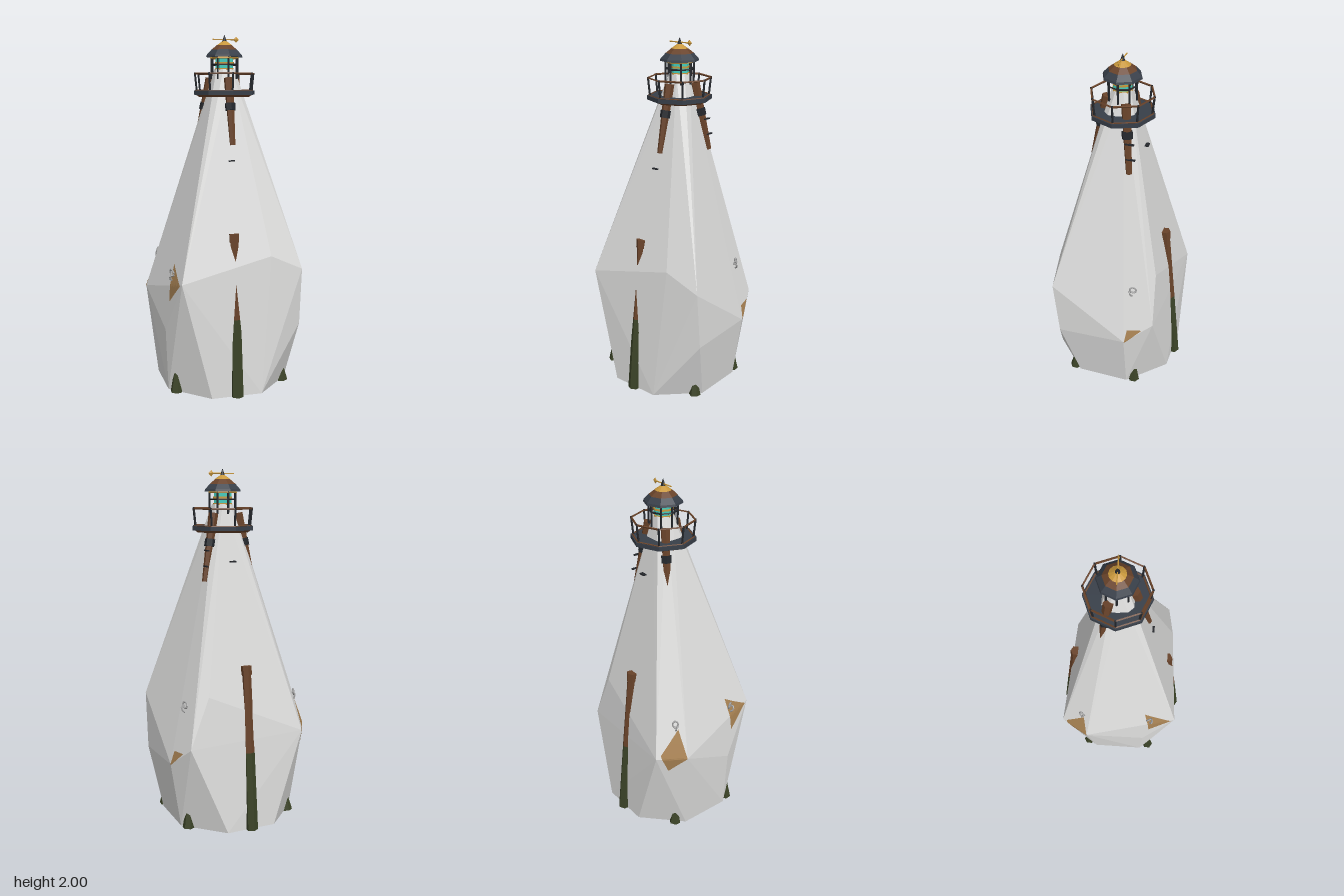
import * as THREE from 'three';
import { ConvexGeometry } from 'three/addons/geometries/ConvexGeometry.js';

const paint = (name, color, side) => {
  const m = new THREE.MeshStandardMaterial({ color });
  m.name = name;
  if (side) m.side = side;
  return m;
};
const V = (x, y, z) => new THREE.Vector3(x, y, z);

export function createModel() {
  const white = paint('white plaster', 0xdcdcdb);
  const tan = paint('bare patch', 0xa88253, THREE.DoubleSide);
  const green = paint('algae green', 0x3b4327);
  const brown = paint('rust brown', 0x69432a);
  const black = paint('dark iron', 0x24272c);
  const slate = paint('slate', 0x383f49);
  const gold = paint('gold', 0xc9983c);
  const teal = paint('lamp teal', 0x42cdbd);
  const grey = paint('chain grey', 0xa2a2a2);

  const root = new THREE.Group();
  root.name = 'lighthouse';
  const add = (geo, mat, name, parent = root) => {
    const g = geo.index ? geo.toNonIndexed() : geo;
    g.computeVertexNormals(); // faceted look
    const mesh = new THREE.Mesh(g, mat);
    mesh.name = name;
    parent.add(mesh);
    return mesh;
  };
  // tapered bar between two points
  const beam = (a, b, ra, rb, mat, name, sides = 6, parent = root) => {
    const d = b.clone().sub(a);
    const mesh = add(new THREE.CylinderGeometry(rb, ra, d.length(), sides), mat, name, parent);
    mesh.position.copy(a).add(b).multiplyScalar(0.5);
    mesh.quaternion.setFromUnitVectors(V(0, 1, 0), d.normalize());
    return mesh;
  };

  // faceted tower: base octagon, irregular belly, narrow top
  const pts = [
    V(-0.31, 0.66, 0.345), V(0.21, 0.78, 0.305), V(0.405, 0.69, 0.28), V(0.405, 0.36, 0.25),
    V(0.408, 0.38, -0.15), V(0.345, 0.5, -0.305), V(0.23, 0.78, -0.285),
    V(-0.32, 0.54, -0.345), V(-0.41, 0.53, -0.19), V(-0.365, 0.36, 0.16),
  ];
  for (const s of [-1, 1]) for (const t of [-1, 1]) {
    pts.push(V(s * 0.145, 0, t * 0.352), V(s * 0.35, 0, t * 0.15));
  }
  const CX = 0.03, CZ = -0.02;
  for (let i = 0; i < 8; i++) {
    const a = (i + 0.5) * Math.PI / 4;
    pts.push(V(CX + 0.058 * Math.sin(a), 1.81, CZ + 0.058 * Math.cos(a)));
  }
  const body = add(new ConvexGeometry(pts), white, 'tower');
  body.updateMatrixWorld();

  // drop a point onto the tower wall, lifted slightly
  const ray = new THREE.Raycaster();
  const onWall = (p, lift) => {
    ray.set(V(p.x * 4, p.y, p.z * 4), V(-p.x, 0, -p.z).normalize());
    const hit = ray.intersectObject(body)[0];
    return hit ? hit.point.addScaledVector(hit.face.normal, lift) : p.clone();
  };

  // bare patches that follow the wall
  const patch = (a, b, c) => {
    const n = 10, out = [];
    const at = (i, j) => onWall(a.clone().addScaledVector(b.clone().sub(a), i / n)
      .addScaledVector(c.clone().sub(a), j / n), 0.003);
    for (let i = 0; i < n; i++) for (let j = 0; j < n - i; j++) {
      out.push(at(i, j), at(i + 1, j), at(i, j + 1));
      if (i + j < n - 1) out.push(at(i + 1, j), at(i + 1, j + 1), at(i, j + 1));
    }
    add(new THREE.BufferGeometry().setFromPoints(out), tan, 'barePatch');
  };
  patch(V(-0.41, 0.53, -0.19), V(-0.35, 0.7, -0.21), V(-0.33, 0.56, -0.32));
  patch(V(-0.41, 0.53, -0.19), V(-0.33, 0.56, -0.32), V(-0.36, 0.45, -0.29));
  patch(V(0.39, 0.46, -0.165), V(0.37, 0.465, -0.25), V(0.405, 0.375, -0.15));
  patch(V(-0.36, 0.74, 0.19), V(-0.36, 0.53, 0.2), V(-0.315, 0.65, 0.325));

  // leaning pipes front and back: algae below, rust above, collar on top
  for (const [s, top] of [[1, 0.91], [-1, 0.93]]) {
    const a = V(0, 0, s * 0.358), b = V(0, top, s * 0.272);
    const at = (t) => a.clone().lerp(b, t);
    beam(a, at(0.48), 0.035, 0.031, green, 'pipeLower');
    beam(at(0.48), b, 0.031, 0.025, brown, 'pipeUpper');
    beam(at(0.95), at(1.003), 0.03, 0.03, brown, 'pipeCollar');
  }

  // algae covered stubs around the foot
  for (const [x, z, h] of [[-0.315, 0.2, 0.12], [0.325, 0.19, 0.08], [0.32, -0.19, 0.11], [-0.31, -0.2, 0.08]]) {
    beam(V(x, 0, z), V(x * 0.98, h, z * 0.96), 0.034, 0.018, green, 'footStub');
  }

  // struts below the gallery with iron collars
  for (let i = 0; i < 3; i++) {
    const a = i * Math.PI * 2 / 3;
    const at = (r, y) => V(CX + r * Math.sin(a), y, CZ + r * Math.cos(a));
    beam(at(0.165, 1.39), at(0.085, 1.76), 0.017, 0.027, brown, 'strut');
    beam(at(0.121, 1.58), at(0.112, 1.62), 0.031, 0.031, black, 'strutCollar');
  }

  // small iron rungs
  for (const [x, y, z] of [[0.018, 1.305, 0.17], [0.16, 1.56, -0.1], [0.17, 1.475, -0.11], [0.03, 1.5, -0.16]]) {
    const side = x > 0.1;
    const rung = add(new THREE.BoxGeometry(side ? 0.012 : 0.035, 0.007, side ? 0.05 : 0.02), black, 'rung');
    rung.position.set(x, y, z);
  }

  // chain links hanging on the wall
  for (const [x, y, z] of [[-0.35, 0.72, -0.23], [0.36, 0.71, -0.2], [-0.36, 0.68, 0.21]]) {
    const p = onWall(V(x, y, z), 0.008);
    for (let i = 0; i < 2; i++) {
      const link = add(new THREE.TorusGeometry(0.015, 0.005, 5, 8), grey, 'chainLink');
      link.scale.y = 1.3;
      link.position.set(p.x, p.y + 0.012 - i * 0.026, p.z + i * 0.012);
      link.rotation.set(0.4, Math.atan2(x, z) + i * 1.2, 0.5);
    }
  }

  // gallery and lantern share one axis
  const head = new THREE.Group();
  head.name = 'lanternHead';
  head.position.set(CX, 0, CZ);
  root.add(head);
  const drum = (r0, r1, y0, y1, mat, name, sides = 8, open = false) => {
    const m = add(new THREE.CylinderGeometry(r1, r0, y1 - y0, sides, 1, open), mat, name, head);
    m.position.y = (y0 + y1) / 2;
    return m;
  };
  drum(0.15, 0.17, 1.655, 1.668, brown, 'galleryUnderside');
  drum(0.18, 0.18, 1.667, 1.69, slate, 'galleryDeck');
  const octagon = (r, y) => Array.from({ length: 8 }, (_, i) =>
    V(r * Math.sin(i * Math.PI / 4), y, r * Math.cos(i * Math.PI / 4)));
  const loop = (r, y, t, mat, name) => {
    const c = octagon(r, y);
    c.forEach((p, i) => beam(p, c[(i + 1) % 8], t, t, mat, name, 4, head));
  };
  loop(0.169, 1.69, 0.005, brown, 'deckTrim');
  loop(0.174, 1.785, 0.0055, brown, 'handrail');
  const foot = octagon(0.163, 1.685), tip = octagon(0.174, 1.79);
  foot.forEach((p, i) => beam(p, tip[i], 0.006, 0.006, black, 'railPost', 5, head));

  // lamp and its bands
  drum(0.052, 0.052, 1.8, 1.88, teal, 'lamp');
  for (const y of [1.805, 1.84, 1.868]) drum(0.056, 0.056, y, y + 0.01, gold, 'lampBand');
  octagon(0.078, 1.755).forEach((p) =>
    beam(p, V(p.x, 1.885, p.z), 0.006, 0.006, black, 'lanternPost', 5, head));
  loop(0.078, 1.835, 0.005, black, 'lanternRing');
  loop(0.08, 1.873, 0.006, gold, 'eaveRing');

  // stepped roof, finial and wind vane
  drum(0.108, 0.104, 1.877, 1.889, slate, 'eave');
  drum(0.104, 0.077, 1.889, 1.918, slate, 'roofLower');
  drum(0.077, 0.045, 1.918, 1.943, brown, 'roofUpper');
  drum(0.045, 0.014, 1.943, 1.965, gold, 'roofCap', 12);
  drum(0.014, 0.001, 1.963, 2, black, 'finial');
  beam(V(-0.07, 1.975, 0), V(0.075, 1.975, 0), 0.0035, 0.0035, gold, 'vaneBar', 5, head);
  const arrow = add(new THREE.OctahedronGeometry(0.017), gold, 'vaneArrow', head);
  arrow.scale.z = 0.35;
  arrow.position.set(0.068, 1.975, 0);

  return root;
}
